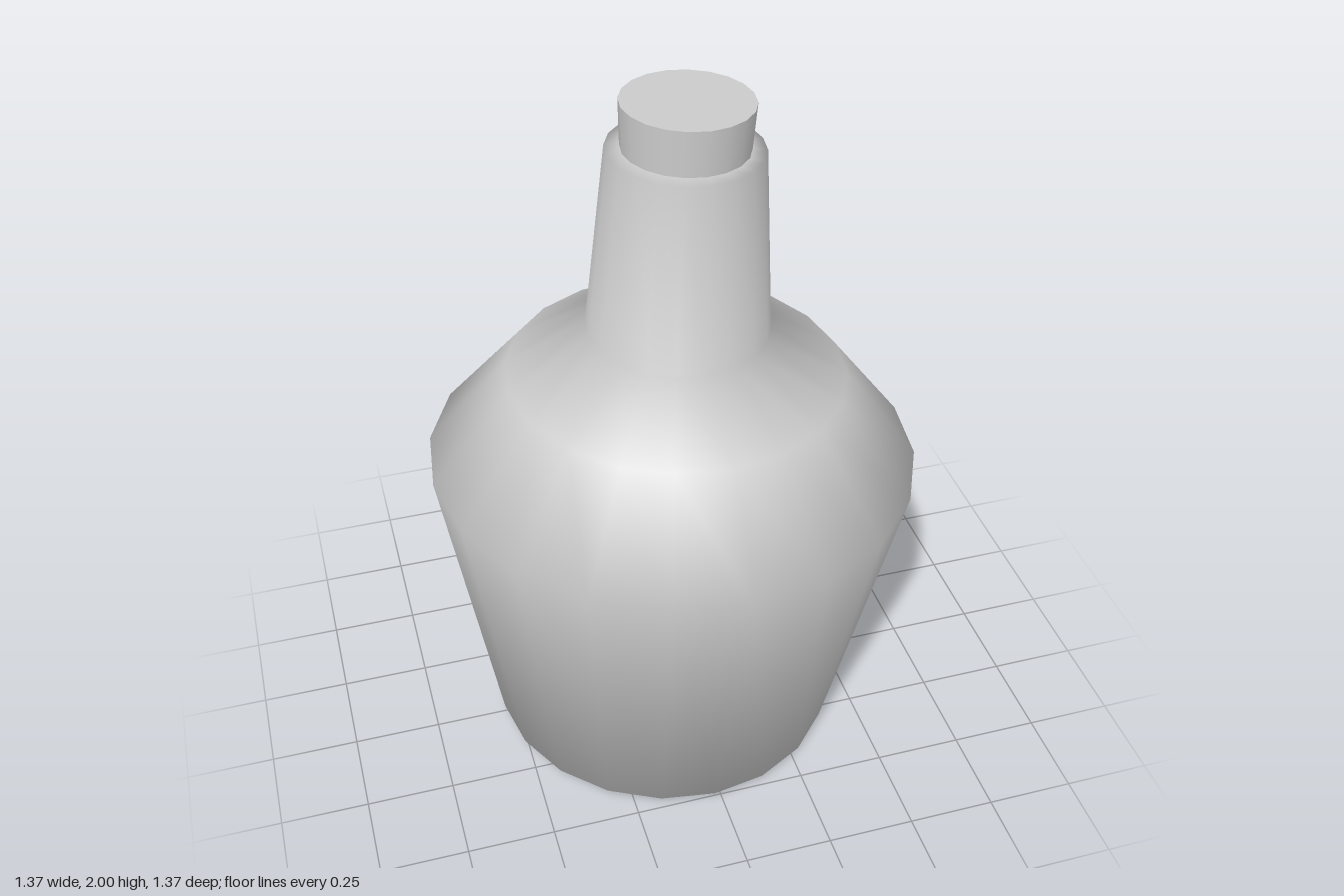
import * as THREE from 'three';

const SIDES = 20;

export function createModel() {
  const grey = new THREE.MeshStandardMaterial({ color: 0xcccccc });
  const model = new THREE.Group();
  model.name = 'bottle';

  // glass body: base, tapered wall, shoulder, neck and lip in one smooth turned profile
  const profile = [
    [0, 0], [0.508, 0], [0.685, 0.91], [0.468, 1.178],
    [0.25, 1.32], [0.206, 1.846], [0.16, 1.85],
  ].map(([r, y]) => new THREE.Vector2(r, y));
  const body = new THREE.Mesh(new THREE.LatheGeometry(profile, SIDES), grey);
  body.name = 'bottleBody';

  // cork, slightly wider at the top and sunk into the neck
  const corkBottom = 1.83, corkTop = 1.975;
  const cork = new THREE.Mesh(
    new THREE.CylinderGeometry(0.173, 0.166, corkTop - corkBottom, SIDES), grey);
  cork.name = 'cork';
  cork.position.y = (corkBottom + corkTop) / 2;

  // the whole bottle leans a little towards +x and is turned slightly on its axis
  const leaning = new THREE.Group();
  leaning.name = 'leaningBottle';
  leaning.add(body, cork);
  leaning.rotation.set(0, 0.03, -0.0365, 'ZYX');
  leaning.position.set(-0.035, 0.0195, 0);
  model.add(leaning);
  return model;
}
